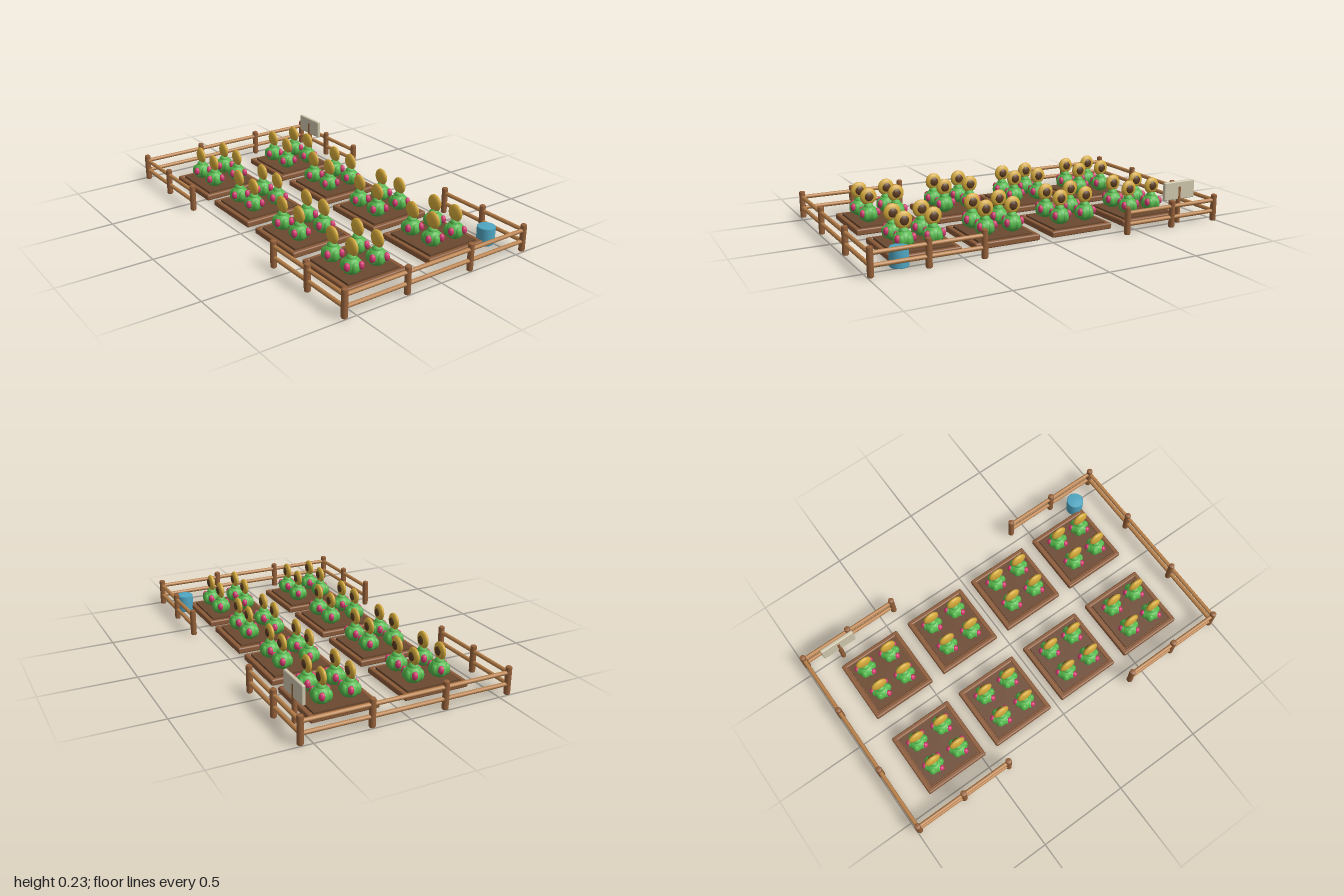
import * as THREE from 'three';
import { RoundedBoxGeometry } from 'three/addons/geometries/RoundedBoxGeometry.js';

const mat = (name, color) => {
  const m = new THREE.MeshStandardMaterial({ color });
  m.name = name;
  return m;
};

export function createModel() {
  const M = {
    post: mat('post wood', 0x96613a),
    rail: mat('rail wood', 0xb98049),
    bed: mat('bed wood', 0x8b5a38),
    soil: mat('soil', 0x6c4930),
    leaf: mat('leaf green', 0x55b84c),
    petal: mat('petal yellow', 0xd4a93a),
    seed: mat('flower centre brown', 0x5c3c22),
    berry: mat('berry pink', 0xd63a72),
    water: mat('barrel blue', 0x4fa6c2),
    board: mat('board cream', 0xcfc6ac),
  };
  const root = new THREE.Group();
  root.name = 'garden';
  const add = (parent, name, geo, material, x = 0, y = 0, z = 0) => {
    const mesh = new THREE.Mesh(geo, material);
    mesh.name = name;
    mesh.position.set(x, y, z);
    parent.add(mesh);
    return mesh;
  };
  const group = (parent, name, x = 0, y = 0, z = 0) => {
    const g = new THREE.Group();
    g.name = name;
    g.position.set(x, y, z);
    parent.add(g);
    return g;
  };

  // Fence: rounded posts joined by two rails, open in the middle of front and back
  const X = 0.984, Z = 0.557, H = 0.147;
  const lathe = (pts, n) => new THREE.LatheGeometry(pts.map(p => new THREE.Vector2(...p)), n);
  const postGeo = lathe([[0, 0], [0.013, 0], [0.0165, 0.005], [0.0165, H - 0.006], [0.013, H], [0, H]], 12);
  const fence = group(root, 'fence');
  const rail = (a, b) => {
    for (const y of [0.055, 0.115]) {
      const dx = b[0] - a[0], dz = b[1] - a[1];
      const geo = new THREE.CylinderGeometry(0.011, 0.011, Math.hypot(dx, dz), 10);
      geo.rotateZ(Math.PI / 2);
      const r = add(fence, 'fenceRail', geo, M.rail, (a[0] + b[0]) / 2, y, (a[1] + b[1]) / 2);
      r.rotation.y = Math.atan2(-dz, dx);
    }
  };
  for (const s of [-1, 1]) {
    for (const t of [-1, 1]) {
      for (const x of [X, 0.7, 0.413]) add(fence, 'fencePost', postGeo, M.post, s * x, 0, t * Z);
      add(fence, 'fencePost', postGeo, M.post, s * X, 0, t * 0.197);
      rail([s * X, t * Z], [s * 0.413, t * Z]);
      rail([s * X, t * Z], [s * X, 0]);
    }
  }

  // One flowering plant: leafy ball, berries and an upright flower head
  const ball = new THREE.SphereGeometry(1, 16, 10);
  const smallBall = new THREE.SphereGeometry(1, 10, 8);
  const blob = (parent, name, geo, material, p, r) => add(parent, name, geo, material, ...p).scale.set(...r);
  const plant = (parent, x, z) => {
    const g = group(parent, 'plant', x, 0.035, z);
    blob(g, 'leafBall', ball, M.leaf, [0, 0.047, 0], [0.049, 0.047, 0.049]);
    blob(g, 'leafTop', smallBall, M.leaf, [0, 0.084, 0], [0.027, 0.025, 0.027]);
    for (let i = 0; i < 6; i++) {
      const a = i * Math.PI / 3 + 0.2;
      blob(g, 'leafLobe', smallBall, M.leaf, [Math.cos(a) * 0.034, 0.046, Math.sin(a) * 0.034], [0.022, 0.032, 0.022]);
    }
    for (const [bx, bz] of [[0.021, 0.043], [0.042, -0.025], [-0.043, -0.017]])
      blob(g, 'berry', smallBall, M.berry, [bx, 0.055, bz], [0.016, 0.022, 0.016]);
    blob(g, 'flowerHead', ball, M.petal, [0, 0.141, 0], [0.046, 0.046, 0.018]);
    blob(g, 'flowerCentre', ball, M.seed, [0, 0.141, -0.01], [0.026, 0.026, 0.013]);
  };

  // Eight beds in two rows, four plants each
  const S = 0.365;
  const baseGeo = new RoundedBoxGeometry(S, 0.026, S, 2, 0.008);
  const rimGeo = new RoundedBoxGeometry(S, 0.033, 0.026, 2, 0.008);
  const soilGeo = new THREE.BoxGeometry(S - 0.06, 0.03, S - 0.06);
  for (const z of [-0.252, 0.252]) {
    for (const x of [-0.656, -0.219, 0.219, 0.656]) {
      const bed = group(root, 'flowerBed', x, 0, z);
      add(bed, 'bedBase', baseGeo, M.bed, 0, 0.013, 0);
      add(bed, 'bedSoil', soilGeo, M.soil, 0, 0.023, 0);
      for (let i = 0; i < 4; i++) {
        const side = group(bed, 'bedSide');
        side.rotation.y = i * Math.PI / 2;
        add(side, 'bedRim', rimGeo, M.bed, 0, 0.0165, S / 2 - 0.013);
      }
      for (const px of [-0.077, 0.077])
        for (const pz of [-0.076, 0.076]) plant(bed, px, pz);
    }
  }

  // Water barrel in the back corner
  add(root, 'waterBarrel', lathe([[0, 0], [0.043, 0], [0.047, 0.004], [0.048, 0.092], [0.044, 0.097], [0, 0.099]], 24),
    M.water, 0.815, 0, -0.472);

  // Blank sign board on a stake
  const sign = group(root, 'sign', -0.79, 0, -0.493);
  add(sign, 'signBoard', new RoundedBoxGeometry(0.2, 0.1, 0.02, 2, 0.006), M.board, 0, 0.18, 0);
  add(sign, 'signStake', new THREE.CylinderGeometry(0.013, 0.013, 0.2, 12), M.post, 0, 0.1, 0);

  return root;
}
